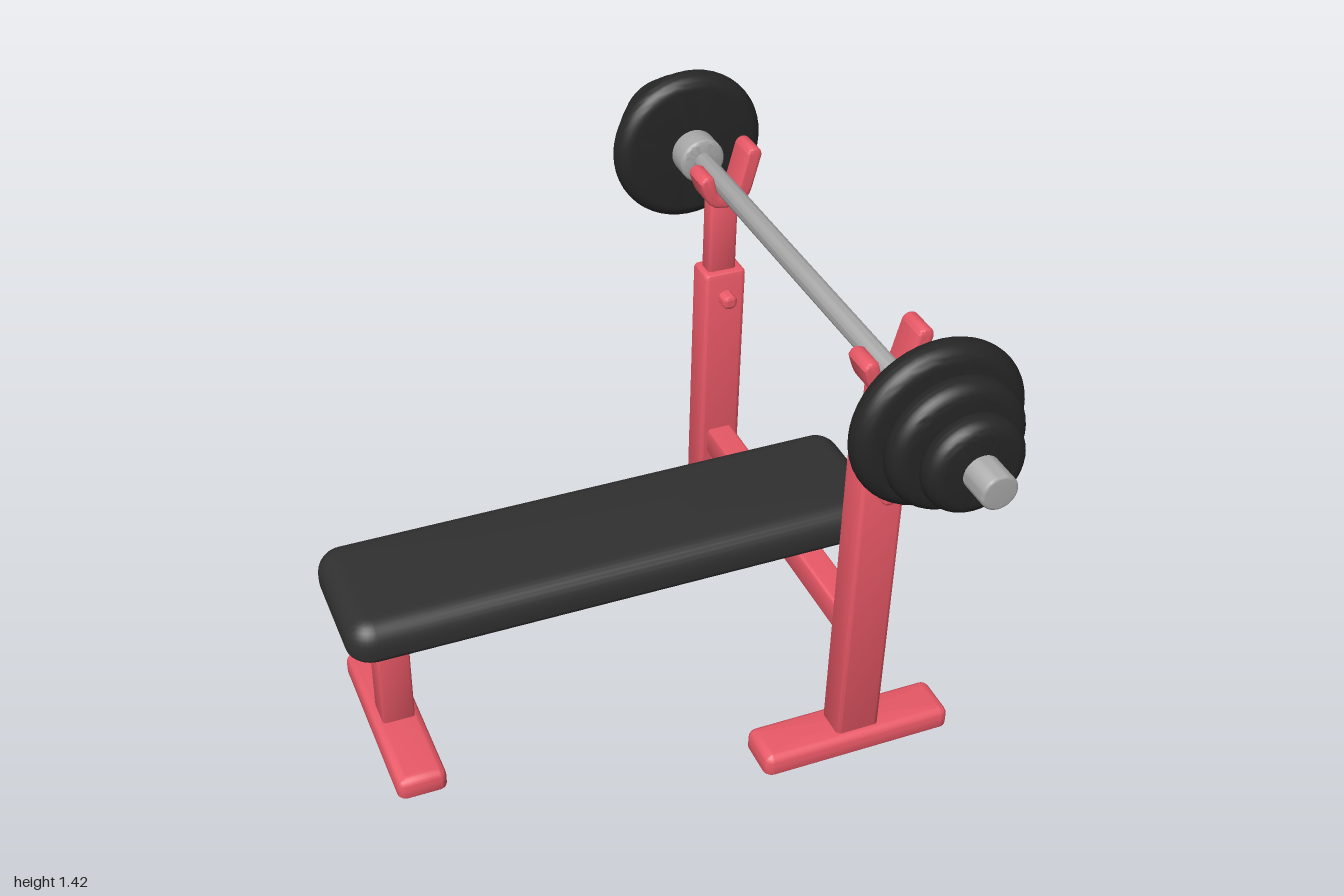
import * as THREE from 'three';
import { toCreasedNormals } from 'three/addons/utils/BufferGeometryUtils.js';

const red = new THREE.MeshStandardMaterial({ color: 0xe85866 });
const black = new THREE.MeshStandardMaterial({ color: 0x303030 });
const plateBlack = new THREE.MeshStandardMaterial({ color: 0x262626 });
const steel = new THREE.MeshStandardMaterial({ color: 0xa8a8a8 });

const BAR_X = 0.5, BAR_Y = 1.205, POST_Z = 0.475;

function add(parent, name, geometry, material, x = 0, y = 0, z = 0) {
  const mesh = new THREE.Mesh(geometry, material);
  mesh.name = name;
  mesh.position.set(x, y, z);
  parent.add(mesh);
  return mesh;
}

// Rounded block standing on y = 0, with separate top, bottom and corner radii
function block(w, h, d, rTop, rBottom, rCorner, seg = 6) {
  const levels = []; // [inset, y]
  for (let i = 0; i <= seg; i++) {
    const a = (i / seg) * Math.PI / 2;
    levels.push([rBottom * (1 - Math.sin(a)), rBottom * (1 - Math.cos(a))]);
  }
  for (let i = 0; i <= seg; i++) {
    const a = (i / seg) * Math.PI / 2;
    levels.push([rTop * (1 - Math.cos(a)), h - rTop * (1 - Math.sin(a))]);
  }
  const pos = [], index = [], n = 4 * (seg + 1);
  for (const [inset, y] of levels) {
    const r = Math.max(rCorner - inset, 0.002);
    const cx = w / 2 - inset - r, cz = d / 2 - inset - r;
    for (let q = 0; q < 4; q++) {
      const sx = q === 0 || q === 3 ? 1 : -1, sz = q < 2 ? 1 : -1;
      for (let i = 0; i <= seg; i++) {
        const a = (q + i / seg) * Math.PI / 2;
        pos.push(sx * cx + r * Math.cos(a), y, sz * cz + r * Math.sin(a));
      }
    }
  }
  for (let l = 0; l < levels.length - 1; l++) {
    for (let i = 0; i < n; i++) {
      const a = l * n + i, b = l * n + (i + 1) % n;
      index.push(a, a + n, b, b, a + n, b + n);
    }
  }
  // Flat caps
  const bottom = pos.length / 3, top = bottom + 1, last = (levels.length - 1) * n;
  pos.push(0, 0, 0, 0, h, 0);
  for (let i = 0; i < n; i++) {
    const j = (i + 1) % n;
    index.push(bottom, i, j, top, last + j, last + i);
  }
  const g = new THREE.BufferGeometry();
  g.setAttribute('position', new THREE.Float32BufferAttribute(pos, 3));
  g.setIndex(index);
  return toCreasedNormals(g, 0.6);
}

// Round part along z, from z0 to z1, with rounded rims
function disc(radius, z0, z1, round, seg = 48) {
  const pts = [new THREE.Vector2(0, z0)];
  for (let i = 0; i <= 8; i++) {
    const a = (i / 8) * Math.PI / 2;
    pts.push(new THREE.Vector2(radius - round * (1 - Math.sin(a)), z0 + round * (1 - Math.cos(a))));
  }
  for (let i = 8; i >= 0; i--) {
    const a = (i / 8) * Math.PI / 2;
    pts.push(new THREE.Vector2(radius - round * (1 - Math.sin(a)), z1 - round * (1 - Math.cos(a))));
  }
  pts.push(new THREE.Vector2(0, z1));
  return toCreasedNormals(new THREE.LatheGeometry(pts, seg).rotateX(Math.PI / 2), 0.6);
}

// J-shaped cradle: short lip towards the bench, tall arm behind the bar
function hookGeometry() {
  const b = 0.01;
  const s = new THREE.Shape();
  s.moveTo(0.43, 1.232);
  s.bezierCurveTo(0.445, 1.18, 0.455, 1.158, 0.5, 1.158);
  s.bezierCurveTo(0.545, 1.158, 0.556, 1.175, 0.563, 1.2);
  s.lineTo(0.586, 1.29);
  s.quadraticCurveTo(0.587, 1.304, 0.574, 1.305);
  s.quadraticCurveTo(0.564, 1.303, 0.562, 1.295);
  s.lineTo(0.541, 1.212);
  s.bezierCurveTo(0.53, 1.165, 0.47, 1.165, 0.459, 1.205);
  s.lineTo(0.45, 1.238);
  s.quadraticCurveTo(0.436, 1.246, 0.43, 1.232);
  const depth = 0.09 - 2 * b;
  const g = new THREE.ExtrudeGeometry(s, {
    depth, bevelEnabled: true, bevelSize: b, bevelThickness: b, bevelSegments: 4, curveSegments: 12,
  });
  return toCreasedNormals(g.translate(0, 0, -depth / 2), 0.6);
}

export function createModel() {
  const model = new THREE.Group();
  model.name = 'weightBench';

  // Bench pad with its front leg and foot
  const bench = new THREE.Group();
  bench.name = 'bench';
  model.add(bench);
  add(bench, 'pad', block(1.51, 0.112, 0.4, 0.062, 0.025, 0.07, 8), black, -0.02, 0.417, 0);
  add(bench, 'frontLeg', block(0.09, 0.375, 0.09, 0.005, 0.005, 0.01), red, -0.635, 0.05, 0);
  add(bench, 'frontFoot', block(0.135, 0.06, 0.55, 0.028, 0.003, 0.025), red, -0.637, 0, 0);

  // Beam joining the two uprights under the pad
  add(model, 'crossBeam', block(0.075, 0.083, 0.9, 0.01, 0.01, 0.005), red, 0.502, 0.335, 0);

  // Uprights, one on each side
  for (const side of [1, -1]) {
    const rack = new THREE.Group();
    rack.name = side > 0 ? 'frontUpright' : 'backUpright';
    rack.position.z = side * POST_Z;
    model.add(rack);
    add(rack, 'foot', block(0.545, 0.06, 0.138, 0.028, 0.003, 0.025), red, 0.498, 0, 0);
    add(rack, 'post', block(0.124, 0.895, 0.092, 0.014, 0.005, 0.014), red, 0.503, 0.05, 0);
    add(rack, 'innerPost', block(0.082, 0.25, 0.054, 0.008, 0.005, 0.01), red, 0.5, 0.92, 0);
    add(rack, 'lockingPin', disc(0.022, -0.08, 0.085, 0.012, 24), red, 0.504, 0.867, 0);
    add(rack, 'barHook', hookGeometry(), red);
  }

  // Barbell
  const barbell = new THREE.Group();
  barbell.name = 'barbell';
  barbell.position.set(BAR_X, BAR_Y, 0);
  model.add(barbell);
  add(barbell, 'bar', disc(0.028, -0.7, 0.7, 0.003, 32), steel);
  const plates = [[0.217, 0.677, 0.762], [0.172, 0.762, 0.84], [0.125, 0.842, 0.918]];
  for (const side of [1, -1]) {
    const end = new THREE.Group();
    end.name = side > 0 ? 'frontWeights' : 'backWeights';
    if (side < 0) end.rotation.y = Math.PI;
    barbell.add(end);
    add(end, 'sleeve', disc(0.045, 0.65, 1, 0.007, 32), steel);
    add(end, 'collar', disc(0.064, 0.6, 0.678, 0.01, 32), steel);
    for (const [r, z0, z1] of plates) add(end, 'plate', disc(r, z0, z1, (z1 - z0) * 0.48), plateBlack);
  }
  return model;
}
